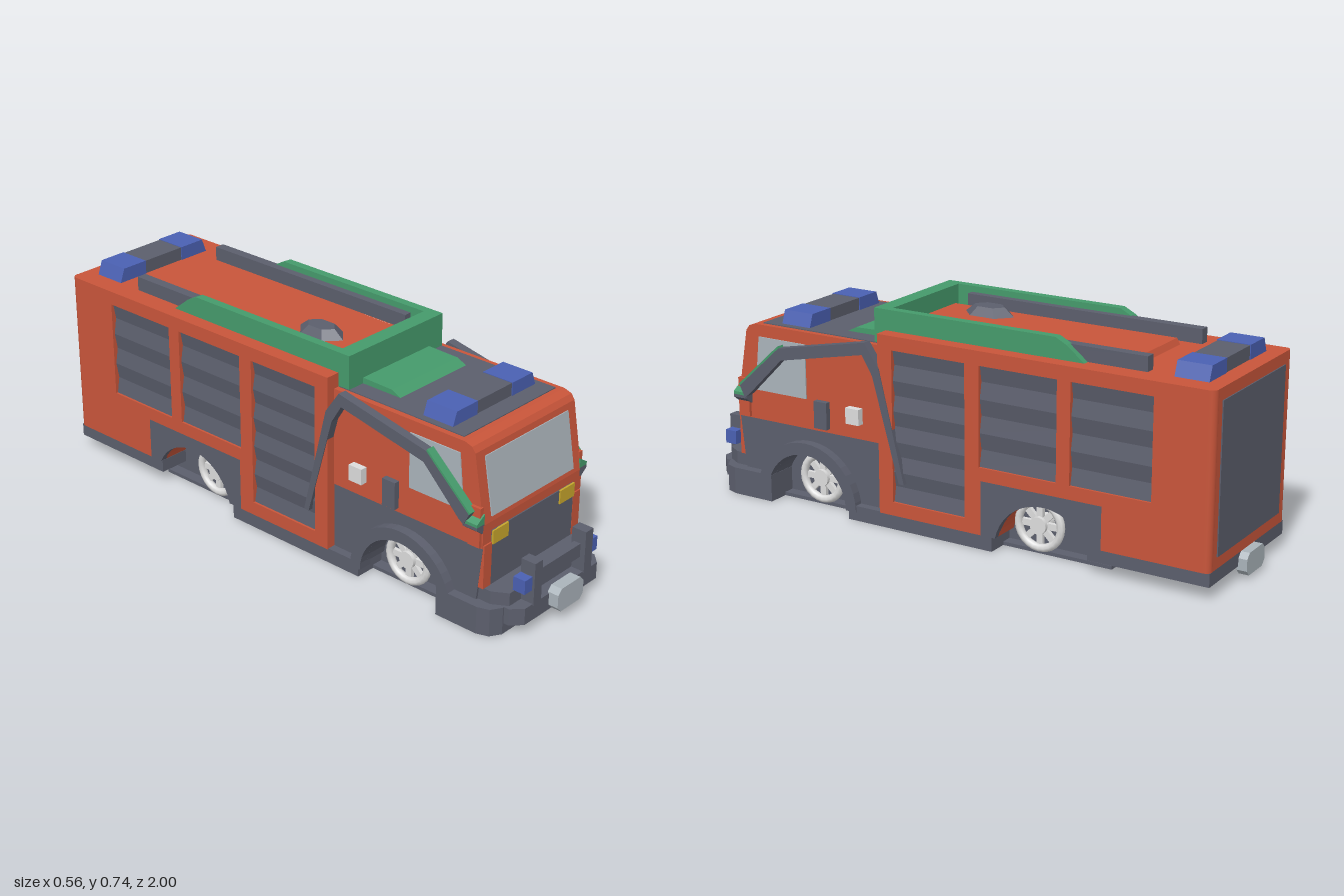
import * as THREE from 'three';

const mat = (name, color) => {
  const m = new THREE.MeshStandardMaterial({ color });
  m.name = name;
  return m;
};

export function createModel() {
  const red = mat('red paint', 0xc8553a), dark = mat('dark grey', 0x5b5e6c), green = mat('green', 0x459a6b);
  const blue = mat('blue lamp', 0x4a60b2), glass = mat('pale glass', 0xaab3ba);
  const yellow = mat('yellow lamp', 0xc8a62c), white = mat('off white', 0xdcdcdc);
  const model = new THREE.Group();
  model.name = 'fireEngine';

  const add = (name, geo, m, x = 0, y = 0, z = 0) => {
    const mesh = new THREE.Mesh(geo, m);
    mesh.name = name;
    mesh.position.set(x, y, z);
    model.add(mesh);
    return mesh;
  };
  // box given by its extents
  const box = (name, m, x0, x1, y0, y1, z0, z1) => add(name,
    new THREE.BoxGeometry(Math.abs(x1 - x0), y1 - y0, Math.abs(z1 - z0)), m, (x0 + x1) / 2, (y0 + y1) / 2, (z0 + z1) / 2);
  const shapeOf = pts => new THREE.Shape(pts.map(p => new THREE.Vector2(p[0], p[1])));
  const extrude = (shape, depth) => new THREE.ExtrudeGeometry(shape, { depth, bevelEnabled: false });
  // side profile in (z, y), drawn out from x0 to x1
  const sideways = (name, m, pts, x0, x1, holes = []) => {
    const shape = shapeOf(pts);
    for (const [za, zb, ya, yb] of holes) {
      shape.holes.push(new THREE.Path([[za, ya], [zb, ya], [zb, yb], [za, yb]].map(p => new THREE.Vector2(...p))));
    }
    return add(name, extrude(shape, Math.abs(x1 - x0)).rotateY(-Math.PI / 2), m, Math.max(x0, x1));
  };
  // front profile in (x, y), drawn out from z0 to z1
  const forward = (name, m, pts, z0, z1) => add(name, extrude(shapeOf(pts), z1 - z0), m, 0, 0, z0);
  const arc = (cz, cy, r, a0, a1, n = 16) => Array.from({ length: n + 1 }, (_, i) => {
    const a = a0 + (a1 - a0) * i / n;
    return [cz + r * Math.cos(a), cy + r * Math.sin(a)];
  });
  const rearArch = arc(-0.39, 0.01, 0.18, Math.PI - 0.46, 0.224);

  // equipment body: core, panelled sides, rear corners
  sideways('bodyCore', red, [[0.235, 0.05], [0.235, 0.665], [-0.97, 0.665], [-0.97, 0.09], ...rearArch], -0.255, 0.255);
  const shutters = [[-0.10, 0.18, 0.097, 0.617, 5], [-0.437, -0.153, 0.28, 0.617, 3], [-0.77, -0.485, 0.28, 0.617, 3]];
  for (const s of [1, -1]) {
    sideways('bodySide', red, [[0.235, 0.05], [0.235, 0.665], [-0.95, 0.665], [-0.95, 0.09], [-0.6, 0.09],
      [-0.6, 0.235], [-0.16, 0.235], [-0.16, 0.05]], s * 0.25, s * 0.276, shutters);
    sideways('rearArchPanel', dark, [[-0.16, 0.05], [-0.16, 0.235], [-0.6, 0.235], [-0.6, 0.09], ...rearArch], s * 0.25, s * 0.276);
    add('rearCorner', new THREE.CylinderGeometry(0.021, 0.021, 0.575, 16), red, s * 0.255, 0.3775, -0.95);
    // roller shutters with slanted slats
    for (const [z0, z1, y0, y1, n] of shutters) {
      const h = (y1 - y0) / n, pts = [[s * 0.25, y1], [s * 0.25, y0]];
      for (let i = 0; i < n; i++) pts.push([s * 0.268, y0 + i * h], [s * 0.258, y0 + (i + 0.5) * h]);
      pts.push([s * 0.268, y1]);
      forward('rollerShutter', dark, pts, z0, z1);
    }
  }
  box('rearPanel', dark, -0.225, 0.225, 0.13, 0.625, -0.974, -0.968);
  box('rearSill', dark, -0.27, 0.27, 0.045, 0.09, -0.97, -0.55);

  // cab
  sideways('cabUpper', red, [[0.235, 0.28], [0.235, 0.617], [0.76, 0.617], [0.787, 0.608], [0.8, 0.59], [0.84, 0.36], [0.84, 0.28]], -0.245, 0.245);
  sideways('cabLower', dark, [[0.235, 0.05], [0.235, 0.28], [0.84, 0.28], [0.82, 0.09],
    ...arc(0.54, 0.03, 0.165, 0.373, Math.PI - 0.12)], -0.243, 0.243);
  box('cabRoofPanel', dark, -0.225, 0.225, 0.614, 0.62, 0.24, 0.74);
  const screen = add('windscreen', new THREE.BoxGeometry(0.41, 0.195, 0.008), glass, 0, 0.473, 0.8205);
  screen.rotation.x = -0.172;
  box('grille', dark, -0.205, 0.205, 0.14, 0.33, 0.81, 0.844);
  for (const s of [1, -1]) {
    box('frontPillar', red, s * 0.205, s * 0.242, 0.14, 0.29, 0.81, 0.845);
    box('headlight', yellow, s * 0.13, s * 0.205, 0.283, 0.33, 0.842, 0.849);
    sideways('sideWindow', glass, [[0.55, 0.385], [0.55, 0.575], [0.745, 0.575], [0.765, 0.385]], s * 0.242, s * 0.249);
    box('doorHandle', dark, s * 0.24, s * 0.265, 0.295, 0.39, 0.455, 0.507);
    box('sideBox', white, s * 0.24, s * 0.27, 0.335, 0.39, 0.32, 0.373);
    // wheel arch flare
    sideways('frontArch', dark, [...arc(0.54, 0.03, 0.207, 0, Math.PI, 20), ...arc(0.54, 0.03, 0.165, Math.PI, 0, 20)], s * 0.225, s * 0.276);
    // bent side bar with green leading face
    sideways('sideBar', dark, [[0.79, 0.36], [0.81, 0.4], [0.64, 0.555], [0.285, 0.628], [0.23, 0.55], [0.135, 0.165],
      [0.155, 0.165], [0.255, 0.52], [0.295, 0.585], [0.63, 0.515], [0.77, 0.375]], s * 0.248, s * 0.279);
    sideways('sideBarFace', green, [[0.81, 0.4], [0.814, 0.406], [0.643, 0.562], [0.64, 0.555]], s * 0.248, s * 0.279);
    // corner marker lamp
    forward('markerLamp', green, [[s * 0.24, 0.365], [s * 0.276, 0.365], [s * 0.276, 0.375], [s * 0.24, 0.398]], 0.785, 0.84);
    forward('markerBase', dark, [[s * 0.24, 0.335], [s * 0.25, 0.335], [s * 0.276, 0.355], [s * 0.276, 0.365], [s * 0.24, 0.365]], 0.785, 0.84);
    box('cornerTrim', red, s * 0.24, s * 0.256, 0.285, 0.42, 0.79, 0.835);
  }

  // bumper and front guard
  const bumper = shapeOf([[-0.276, -0.69], [0.276, -0.69], [0.276, -0.85], [0.262, -0.89], [0.225, -0.912],
    [-0.225, -0.912], [-0.262, -0.89], [-0.276, -0.85]]);
  add('bumper', extrude(bumper, 0.095).rotateX(-Math.PI / 2), dark);
  const step = shapeOf([[-0.235, -0.75], [0.235, -0.75], [0.235, -0.87], [0.205, -0.92], [-0.205, -0.92], [-0.235, -0.87]]);
  add('bumperStep', extrude(step, 0.045).rotateX(-Math.PI / 2), dark, 0, 0.095);
  const winch = shapeOf([[-0.22, -0.85], [0.22, -0.85], [0.22, -0.93], [0.185, -0.965], [-0.185, -0.965], [-0.22, -0.93]]);
  add('bumperCentre', extrude(winch, 0.058).rotateX(-Math.PI / 2), dark, 0, 0.037);
  box('guardBar', dark, -0.15, 0.15, 0.142, 0.19, 0.925, 0.95);
  for (const s of [1, -1]) {
    box('guardPost', dark, s * 0.11, s * 0.148, 0.09, 0.237, 0.915, 0.968);
    box('guardLamp', blue, s * 0.148, s * 0.185, 0.142, 0.19, 0.915, 0.96);
  }
  const plate = (y0, y1) => [[-0.065, y0 + 0.018], [-0.048, y0], [0.048, y0], [0.065, y0 + 0.018],
    [0.065, y1 - 0.018], [0.048, y1], [-0.048, y1], [-0.065, y1 - 0.018]];
  forward('frontPlate', glass, plate(0.037, 0.118), 0.96, 1);
  forward('rearPlate', glass, plate(0.015, 0.09), -1, -0.965);

  // chassis
  box('chassis', dark, -0.16, 0.16, 0.01, 0.3, -0.6, 0.8);
  box('floor', dark, -0.2, 0.2, 0, 0.012, -0.6, 0.85);
  box('sideSill', dark, -0.272, 0.272, 0, 0.052, -0.2, 0.365);
  for (const z of [-0.64, -0.73, -0.83]) box('underStep', dark, -0.07, 0.07, 0.012, 0.05, z - 0.015, z + 0.015);

  // spoked wheel rims
  for (const s of [1, -1]) for (const z of [0.52, -0.34]) {
    const rim = add('wheelRim', new THREE.TorusGeometry(0.078, 0.014, 8, 24), white, s * 0.205, 0.1, z);
    rim.rotation.y = Math.PI / 2;
    for (let i = 0; i < 4; i++) {
      const spoke = add('wheelSpoke', new THREE.BoxGeometry(0.014, 0.15, 0.022), white, s * 0.2, 0.1, z);
      spoke.rotation.x = i * Math.PI / 4;
    }
    const hub = add('wheelHub', new THREE.CylinderGeometry(0.03, 0.03, 0.07, 12), white, s * 0.185, 0.1, z);
    hub.rotation.z = Math.PI / 2;
  }

  // roof surround, rails and hatch
  for (const s of [1, -1]) {
    sideways('roofSurroundSide', green, [[0.28, 0.66], [0.28, 0.735], [-0.4, 0.735], [-0.44, 0.715], [-0.51, 0.66]], s * 0.195, s * 0.225);
    box('roofRail', dark, s * 0.168, s * 0.203, 0.66, 0.714, -0.71, 0.17);
  }
  box('roofSurroundFront', green, -0.225, 0.225, 0.617, 0.735, 0.225, 0.28);
  sideways('roofWedge', green, [[0.27, 0.617], [0.27, 0.64], [0.4, 0.637], [0.44, 0.617]], -0.16, 0.16);
  box('hatchSeal', white, -0.158, 0.158, 0.66, 0.669, 0, 0.225);
  sideways('roofHatch', red, [[0.2, 0.66], [0.195, 0.685], [-0.64, 0.685], [-0.655, 0.66]], -0.13, 0.13);
  const vent = add('roofVent', new THREE.CylinderGeometry(0.6, 1, 0.03, 6).toNonIndexed(), dark, -0.07, 0.699, -0.02 + 0.04);
  vent.geometry.computeVertexNormals();
  vent.scale.set(0.06, 1, 0.095);

  // beacon bars
  for (const [y, z] of [[0.617, 0.62], [0.665, -0.857]]) {
    box('beaconCentre', dark, -0.086, 0.086, y, y + 0.046, z - 0.055, z + 0.055);
    for (const s of [1, -1]) {
      forward('beaconLamp', blue, [[s * 0.085, y], [s * 0.203, y], [s * 0.185, y + 0.048], [s * 0.085, y + 0.048]], z - 0.058, z + 0.058);
    }
  }
  return model;
}
